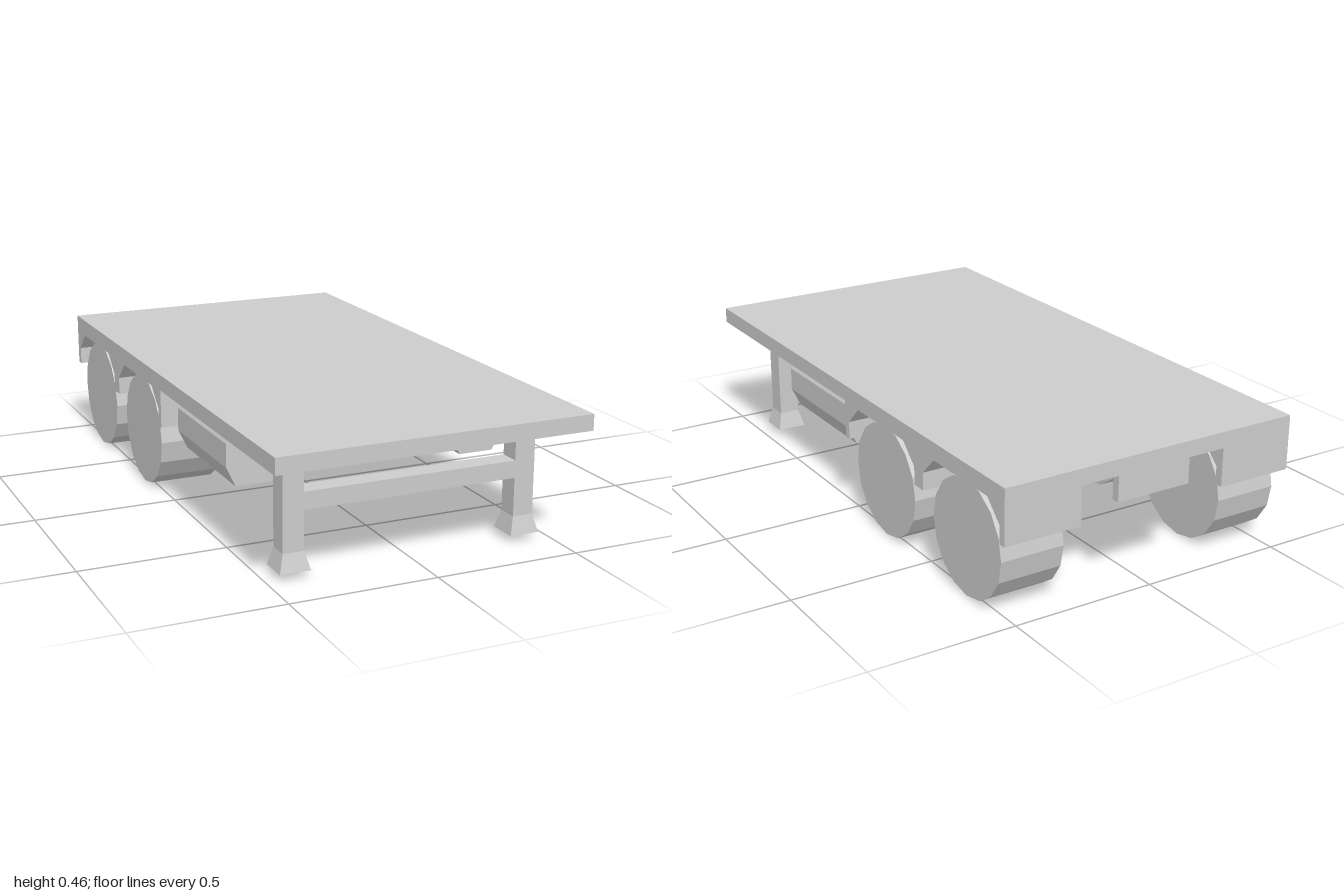
import * as THREE from 'three';

const material = new THREE.MeshStandardMaterial({ color: 0xcccccc, flatShading: true });
const openMaterial = new THREE.MeshStandardMaterial({
  color: 0xcccccc, flatShading: true, side: THREE.DoubleSide,
});
const DECK_BOTTOM = 0.403;

function add(parent, name, geometry, x = 0, y = 0, z = 0, mat = material) {
  const mesh = new THREE.Mesh(geometry, mat);
  mesh.name = name;
  mesh.position.set(x, y, z);
  parent.add(mesh);
}

// Box given by its minimum and maximum corners
function addBox(parent, name, min, max) {
  const size = max.map((v, i) => v - min[i]);
  const mid = max.map((v, i) => (v + min[i]) / 2);
  add(parent, name, new THREE.BoxGeometry(...size), ...mid);
}

function extrude(points, depth) {
  const shape = new THREE.Shape(points.map(([a, b]) => new THREE.Vector2(a, b)));
  return new THREE.ExtrudeGeometry(shape, { depth, bevelEnabled: false });
}

// Side outline (z, y) of the mudguard with an arch over each wheel
function mudguardGeometry() {
  const outline = [
    [0, DECK_BOTTOM], [0, 0.27], [-0.026, 0.27], [-0.026, 0.332], [-0.095, 0.398],
    [-0.402, 0.398], [-0.472, 0.332], [-0.472, 0.27], [-0.527, 0.27], [-0.527, 0.332],
    [-0.595, 0.398], [-0.905, 0.398], [-0.972, 0.332], [-0.972, 0.27], [-1, 0.27], [-1, DECK_BOTTOM],
  ];
  return extrude(outline, 0.272).rotateY(-Math.PI / 2).translate(0.136, 0, 0);
}

// Eight-sided tank section, cut by the deck at the top
function tankGeometry() {
  const section = [
    [-0.063, 0.208], [0.063, 0.208], [0.094, 0.273], [0.094, 0.353],
    [0.063, DECK_BOTTOM], [-0.063, DECK_BOTTOM], [-0.094, 0.353], [-0.094, 0.273],
  ];
  return extrude(section, 0.45);
}

// Square post and flared foot: four-sided cylinders turned flat to the axes
function squareTaper(topHalf, bottomHalf, height, open = false) {
  return new THREE.CylinderGeometry(
    topHalf * Math.SQRT2, bottomHalf * Math.SQRT2, height, 4, 1, open,
  ).rotateY(Math.PI / 4);
}

export function createModel() {
  const model = new THREE.Group();
  model.name = 'flatbedTrailer';

  addBox(model, 'deck', [-0.542, DECK_BOTTOM, -1], [0.542, 0.458, 1]);
  addBox(model, 'rearCentrePanel', [-0.135, 0.315, -1], [0.135, DECK_BOTTOM, -0.972]);

  // Crossbar flush with the front and back of the support posts
  addBox(model, 'supportCrossbar', [-0.371, 0.216, 0.751], [0.371, 0.275, 0.823]);

  for (const [side, s] of [['left', 1], ['right', -1]]) {
    add(model, side + 'Mudguard', mudguardGeometry(), s * 0.406);
    add(model, side + 'Tank', tankGeometry(), s * 0.408, 0, 0.061);

    // Support leg with a hollow flared foot
    const leg = new THREE.Group();
    leg.name = side + 'SupportLeg';
    leg.position.set(s * 0.407, 0, 0.787);
    add(leg, 'post', squareTaper(0.036, 0.036, 0.32), 0, 0.243, 0);
    add(leg, 'foot', squareTaper(0.036, 0.052, 0.061, true), 0, 0.0535, 0, openMaterial);
    model.add(leg);

    // Tandem wheels standing on the ground
    for (const [place, z] of [['Front', -0.248], ['Rear', -0.759]]) {
      const wheel = new THREE.CylinderGeometry(0.197, 0.197, 0.224, 16).rotateZ(Math.PI / 2);
      add(model, side + place + 'Wheel', wheel, s * 0.413, 0.197, z);
    }
  }

  return model;
}
